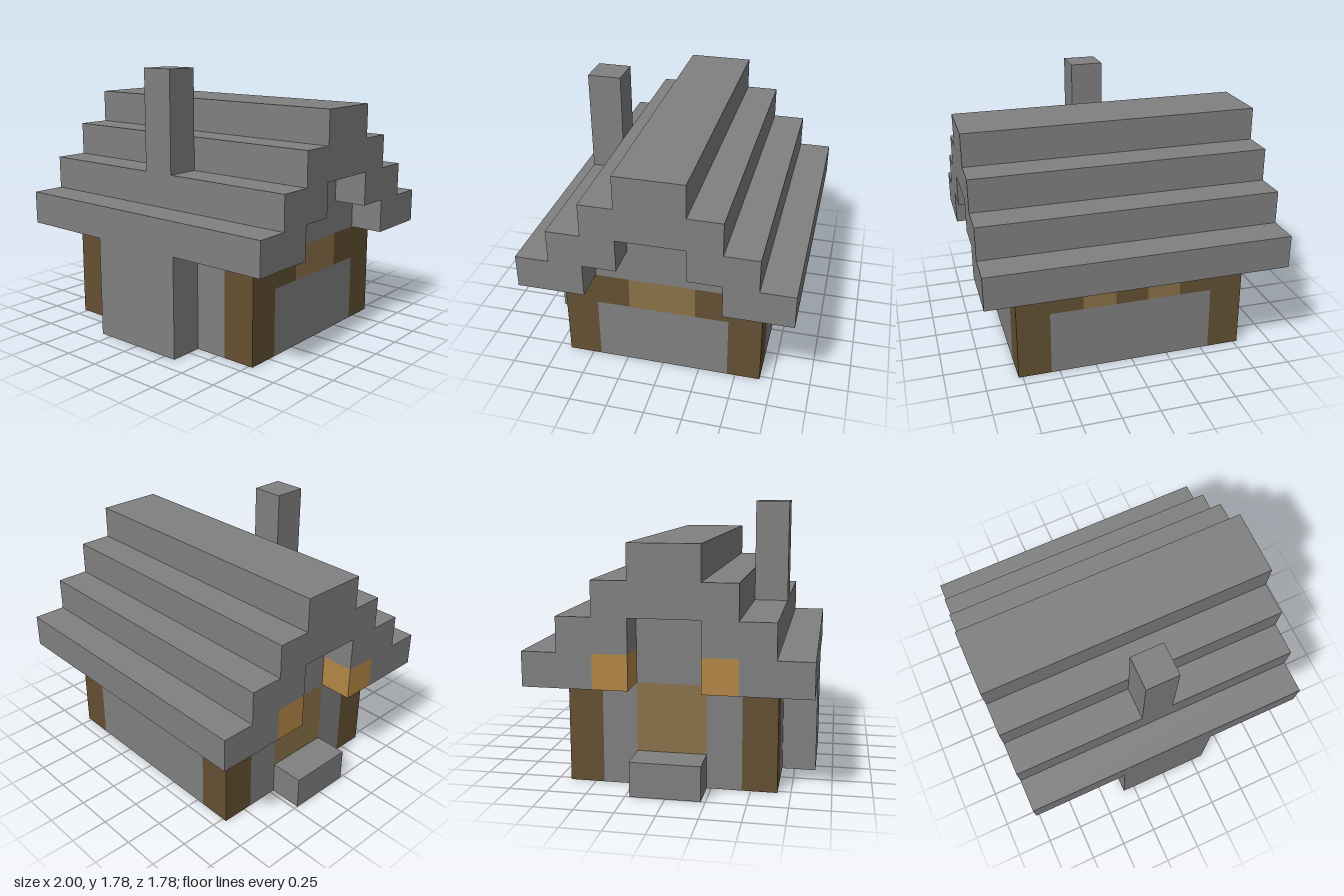
import * as THREE from 'three';

const U = 2 / 9; // size of one block

export function createModel() {
  const house = new THREE.Group();
  house.name = 'blockHouse';

  const material = (name, color) => {
    const m = new THREE.MeshStandardMaterial({ color });
    m.name = name;
    return m;
  };
  const stone = material('stone grey', 0x808080);
  const log = material('dark log brown', 0x645032);
  const plank = material('plank brown', 0x8b7249);
  const lamp = material('warm amber brown', 0xb48745);

  // Box given by its limits, in blocks
  const block = (name, mat, [x0, x1], [y0, y1], [z0, z1]) => {
    const geo = new THREE.BoxGeometry((x1 - x0) * U, (y1 - y0) * U, (z1 - z0) * U);
    const mesh = new THREE.Mesh(geo, mat);
    mesh.name = name;
    mesh.position.set((x0 + x1) / 2 * U, (y0 + y1) / 2 * U, (z0 + z1) / 2 * U);
    house.add(mesh);
  };

  // Core and stone walls
  block('core', stone, [-2.5, 2.5], [0, 3], [-2, 2]);
  block('frontWall', stone, [-2.5, 2.5], [0, 3], [2, 3]);
  block('backWall', stone, [-2.5, 2.5], [0, 2], [-3, -2]);
  block('leftWall', stone, [2.5, 3.5], [0, 2], [-2, 2]);
  block('doorSill', stone, [-3.5, -2.5], [0, 1], [-1, 1]);
  for (const z of [-2, 1]) block('doorsideWall', stone, [-3.5, -2.5], [0, 3], [z, z + 1]);

  // Corner posts
  for (const x of [-3.5, 2.5])
    for (const z of [-3, 2]) block('cornerPost', log, [x, x + 1], [0, 3], [z, z + 1]);

  // Beam blocks above the back and left walls
  for (let i = -2; i <= 2; i++)
    block('backBeam', Math.abs(i) === 1 ? plank : log, [i - 0.5, i + 0.5], [2, 3], [-3, -2]);
  block('leftBeamCentre', plank, [2.5, 3.5], [2, 3], [-1, 1]);
  for (const z of [-2, 1]) block('leftBeamEnd', log, [2.5, 3.5], [2, 3], [z, z + 1]);

  // Doorway with its step and two lamps under the eaves
  block('door', plank, [-3.5, -2.5], [1, 3], [-1, 1]);
  block('doorStep', stone, [-4.5, -3.5], [0, 1], [-1, 1]);
  for (const z of [-2, 1]) block('lamp', lamp, [-4.5, -3.5], [3, 4], [z, z + 1]);

  // Chimney breast and stack
  block('chimneyBreast', stone, [-1.5, 1.5], [0, 3], [3, 4]);
  block('chimneyStack', stone, [-0.5, 0.5], [5, 8], [2, 3]);

  // Stepped gable walls, set back below the roof
  block('gableLower', stone, [-3.5, 3.5], [3, 4], [-2, 2]);
  block('gableUpper', stone, [-3.5, 3.5], [4, 5], [-1, 1]);

  // Stepped roof: one half of the outline, mirrored, then extruded along x
  const half = [[1, 5], [1, 4], [2, 4], [2, 3], [4, 3], [4, 4], [3, 4], [3, 5], [2, 5], [2, 6], [1, 6], [1, 7]];
  const outline = [...half, ...half.map(([z, y]) => [-z, y]).reverse()];
  const shape = new THREE.Shape(outline.map(([z, y]) => new THREE.Vector2(z * U, y * U)));
  const roofGeo = new THREE.ExtrudeGeometry(shape, { depth: 9 * U, bevelEnabled: false });
  roofGeo.translate(0, 0, -4.5 * U).rotateY(Math.PI / 2);
  const roof = new THREE.Mesh(roofGeo, stone);
  roof.name = 'steppedRoof';
  house.add(roof);

  return house;
}
